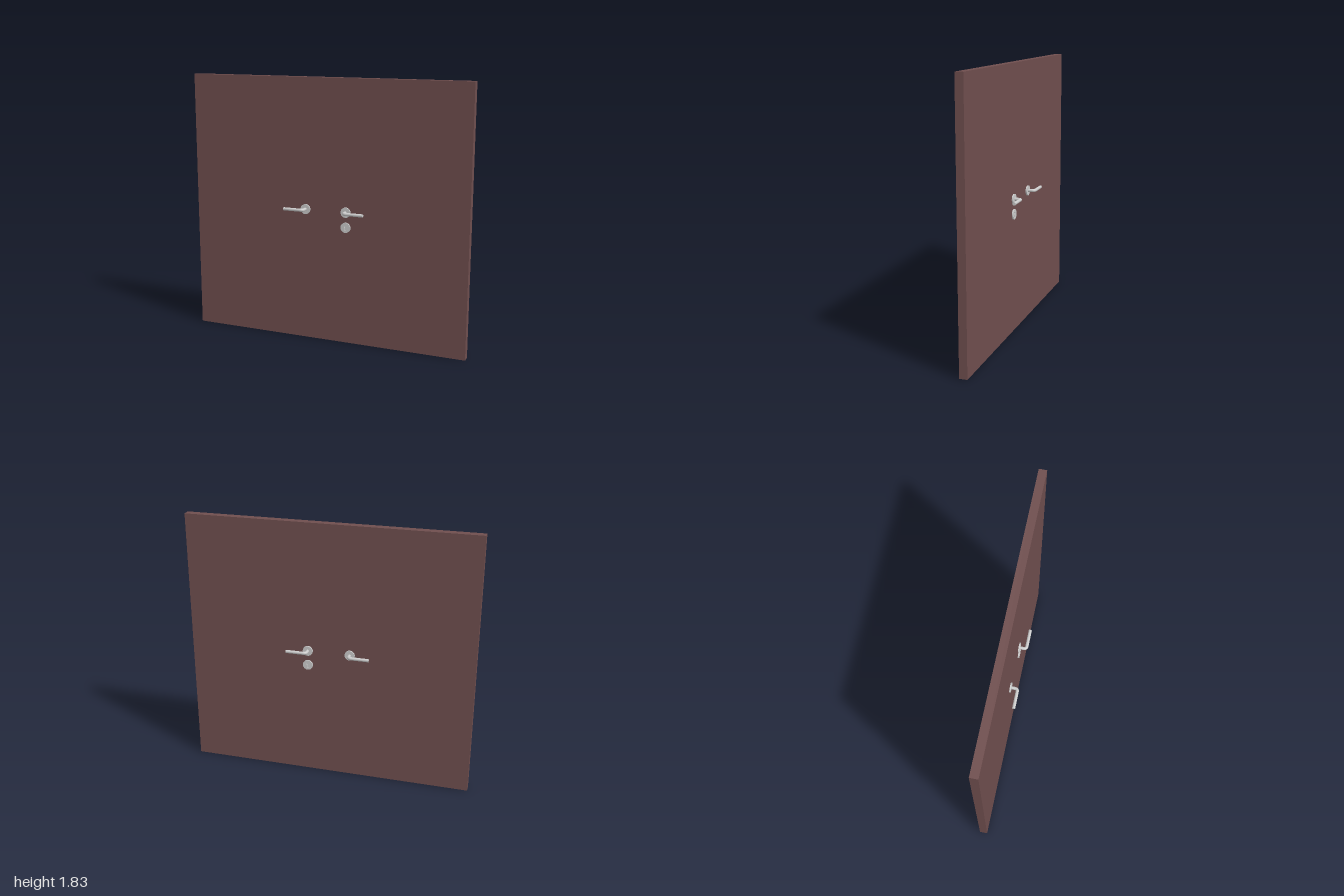
import * as THREE from 'three';

const WIDTH = 2, HEIGHT = 1.83, HALF = 0.027;
const HANDLE_X = 0.148, HANDLE_Y = 0.93, LOCK_Y = 0.825;
const ROSE_R = 0.035, ROSE_T = 0.01, BAR_R = 0.011;

const paint = new THREE.MeshStandardMaterial({ color: 0x6f4e4e });
const metal = new THREE.MeshStandardMaterial({ color: 0xcccccc });

function add(parent, name, geometry, material) {
  const mesh = new THREE.Mesh(geometry, material);
  mesh.name = name;
  parent.add(mesh);
  return mesh;
}

// Round rose and bent lever; sx is the lever's direction, sz the door face
function makeHandle(sx, sz) {
  const handle = new THREE.Group();
  handle.name = 'leverHandle';
  handle.position.set(sx * HANDLE_X, HANDLE_Y, 0);

  const rose = add(handle, 'handleRose', new THREE.CylinderGeometry(ROSE_R, ROSE_R, ROSE_T, 32), metal);
  rose.rotation.x = Math.PI / 2;
  rose.position.z = sz * (HALF + ROSE_T / 2);

  // Neck out of the door, rounded bend, straight grip
  const reach = 0.08, bend = 0.02, grip = 0.142;
  const p = (x, z) => new THREE.Vector3(sx * x, 0, sz * z);
  const path = new THREE.CurvePath();
  path.add(new THREE.LineCurve3(p(0, HALF), p(0, reach - bend)));
  path.add(new THREE.QuadraticBezierCurve3(p(0, reach - bend), p(0, reach), p(bend, reach)));
  path.add(new THREE.LineCurve3(p(bend, reach), p(grip, reach)));
  add(handle, 'lever', new THREE.TubeGeometry(path, 48, BAR_R, 16), metal);

  const cap = add(handle, 'leverEnd', new THREE.CircleGeometry(BAR_R, 16), metal);
  cap.position.copy(p(grip, reach));
  cap.rotation.y = sx * Math.PI / 2;
  return handle;
}

// Round lock plate pierced by a keyhole, with a recessed floor behind it
function makeLock(sz) {
  const lock = new THREE.Group();
  lock.name = 'lock';
  lock.position.set(HANDLE_X, LOCK_Y, sz * HALF);
  if (sz < 0) lock.rotation.y = Math.PI;

  const plate = new THREE.Shape().absarc(0, 0, ROSE_R, 0, Math.PI * 2);
  const r = 0.009, w = 0.004, a = Math.asin(w / r), cy = 0.008;
  const keyhole = new THREE.Path();
  keyhole.moveTo(-w, -0.02);
  keyhole.lineTo(w, -0.02);
  keyhole.absarc(0, cy, r, -Math.PI / 2 + a, Math.PI * 1.5 - a, false);
  keyhole.closePath();
  plate.holes.push(keyhole);
  add(lock, 'lockRose', new THREE.ExtrudeGeometry(plate, {
    depth: ROSE_T, bevelEnabled: false, curveSegments: 32,
  }), metal);

  const floor = add(lock, 'keyholeFloor', new THREE.CircleGeometry(ROSE_R * 0.8, 24), metal);
  floor.position.z = 0.002;
  return lock;
}

export function createModel() {
  const model = new THREE.Group();
  model.name = 'doubleDoor';

  // Flush door slab
  const slab = add(model, 'doorSlab', new THREE.BoxGeometry(WIDTH, HEIGHT, HALF * 2), paint);
  slab.position.y = HEIGHT / 2;

  // Fittings on both faces
  for (const sz of [1, -1]) {
    for (const sx of [1, -1]) model.add(makeHandle(sx, sz));
    model.add(makeLock(sz));
  }
  return model;
}
